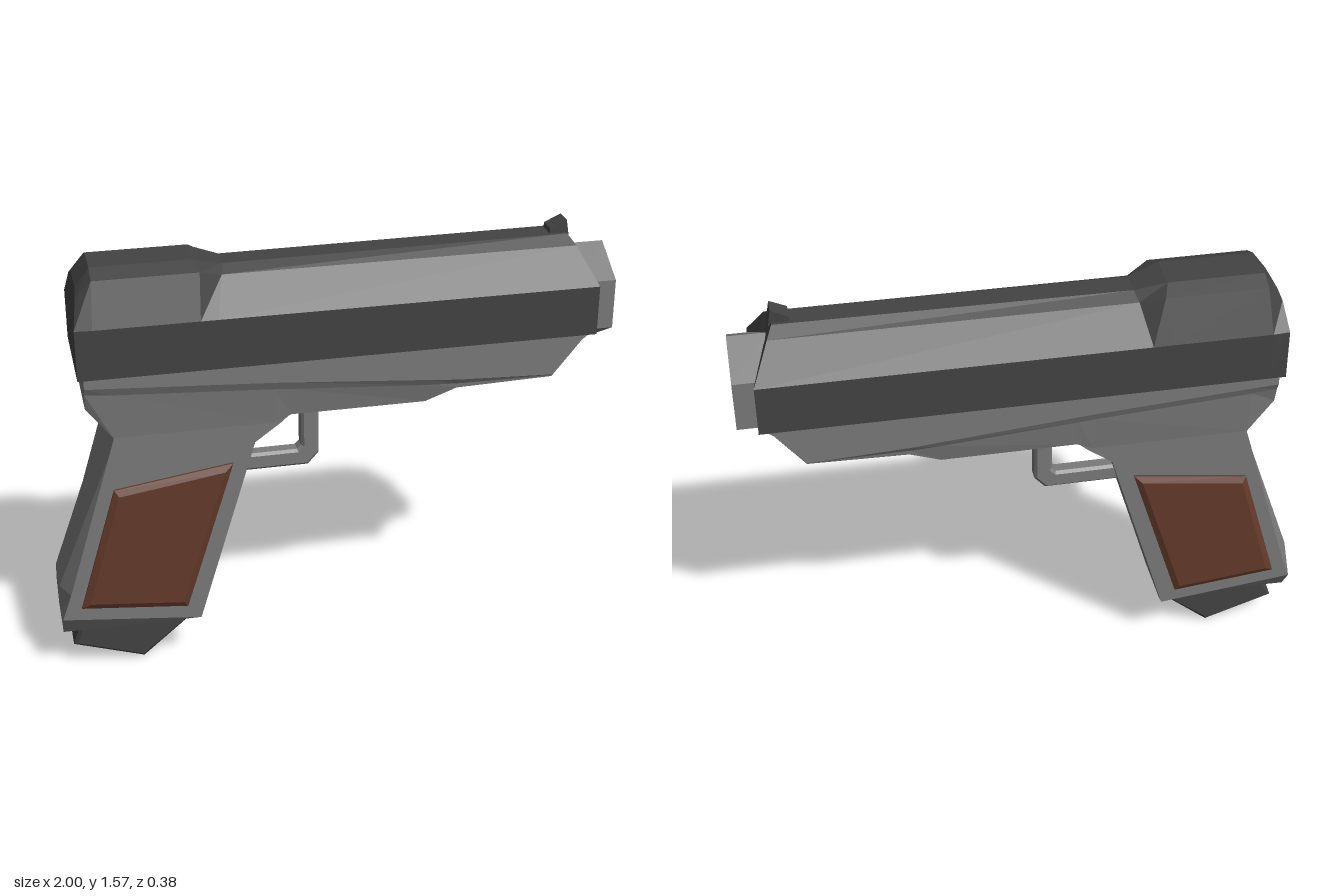
import * as THREE from 'three';

const mat = (name, color) => {
  const m = new THREE.MeshStandardMaterial({ color });
  m.name = name;
  return m;
};

// Closed solid through rings of [x, y, z] points, faceted, wound outwards.
function loft(rings) {
  const tris = [];
  const n = rings[0].length;
  for (let i = 0; i < rings.length - 1; i++) {
    for (let j = 0; j < n; j++) {
      const k = (j + 1) % n;
      const a = rings[i][j], b = rings[i][k], c = rings[i + 1][k], d = rings[i + 1][j];
      tris.push([a, b, c], [a, c, d]);
    }
  }
  const cap = (ring, flip) => {
    const mid = [0, 1, 2].map(q => ring.reduce((s, p) => s + p[q], 0) / n);
    ring.forEach((p, j) => {
      const next = ring[(j + 1) % n];
      tris.push(flip ? [mid, next, p] : [mid, p, next]);
    });
  };
  cap(rings[0], true);
  cap(rings[rings.length - 1], false);
  let volume = 0;
  const v = p => new THREE.Vector3(...p);
  for (const [a, b, c] of tris) volume += v(a).dot(v(b).cross(v(c)));
  if (volume < 0) tris.forEach(t => t.reverse());
  const g = new THREE.BufferGeometry();
  g.setAttribute('position', new THREE.Float32BufferAttribute(tris.flat(2), 3));
  g.computeVertexNormals();
  return g;
}

// Completes a half ring given on +z with its mirror on -z.
const mirror = half => [...half, ...half.slice().reverse().map(([x, y, z]) => [x, y, -z])];

const toShape = pts => new THREE.Shape(pts.map(([x, y]) => new THREE.Vector2(x, y)));

// Side profile extruded evenly about z = 0.
function slab(pts, halfWidth, bevel = 0) {
  const g = new THREE.ExtrudeGeometry(toShape(pts), {
    depth: 2 * (halfWidth - bevel), bevelEnabled: bevel > 0, bevelSegments: 1,
    bevelSize: bevel, bevelThickness: bevel, bevelOffset: -bevel,
  });
  return g.translate(0, 0, bevel - halfWidth);
}

const hexagon = r => Array.from({ length: 6 }, (_, i) => {
  const a = Math.PI / 2 + i * Math.PI / 3;
  return [Math.cos(a) * r, Math.sin(a) * r];
});

export function createModel() {
  const group = new THREE.Group();
  const dark = mat('dark steel', 0x434343);
  const grey = mat('grey steel', 0x7a7a7a);
  const brown = mat('brown wood', 0x643a2b);
  const add = (name, geometry, material) => {
    const mesh = new THREE.Mesh(geometry, material);
    mesh.name = name;
    group.add(mesh);
  };

  // Slide: raised hump at the rear, sloping muzzle end
  add('slide', loft([
    [[-0.89, 1.2, 0.19], [-0.89, 1.38, 0.185], [-0.875, 1.47, 0.12], [-0.87, 1.49, 0.07]],
    [[-0.83, 1.2, 0.19], [-0.83, 1.38, 0.19], [-0.82, 1.53, 0.13], [-0.82, 1.555, 0.07]],
    [[-0.47, 1.2, 0.19], [-0.47, 1.38, 0.19], [-0.46, 1.53, 0.13], [-0.48, 1.555, 0.07]],
    [[-0.41, 1.2, 0.19], [-0.41, 1.38, 0.19], [-0.38, 1.5, 0.09], [-0.37, 1.523, 0.045]],
    [[0.93, 1.2, 0.19], [0.93, 1.38, 0.19], [0.87, 1.5, 0.09], [0.85, 1.53, 0.045]],
  ].map(mirror)), dark);

  // Front sight
  add('frontSight', slab([[0.79, 1.52], [0.86, 1.52], [0.85, 1.575], [0.79, 1.548]], 0.033), dark);

  // Frame: [x, ledge top, ledge bottom, underside]
  add('frame', loft([
    [-0.87, 1.165, 1.14, 1.08],
    [-0.78, 1.16, 1.13, 0.96],
    [-0.22, 1.125, 1.095, 0.96],
    [-0.16, 1.12, 1.09, 0.985],
    [0.32, 1.08, 1.055, 0.985],
    [0.43, 1.07, 1.05, 1.033],
    [0.78, 1.055, 1.048, 1.042],
    [0.88, 1.18, 1.175, 1.17],
    [0.9, 1.196, 1.194, 1.19],
  ].map(([x, a, b, c]) => mirror([
    [x, 1.205, 0.182], [x, a, 0.182], [x, b, 0.17], [x, c, x > 0.4 ? 0.168 : 0.155],
  ]))), grey);

  // Grip: raked, with a folded backstrap and bevelled foot
  add('grip', loft([
    [[-0.16, 0.99, 0.155], [-0.78, 0.99, 0.155], [-0.78, 0.99, 0.08]],
    [[-0.2, 0.955, 0.155], [-0.78, 0.955, 0.155], [-0.782, 0.955, 0.08]],
    [[-0.29, 0.89, 0.155], [-0.8, 0.89, 0.155], [-0.805, 0.89, 0.08]],
    [[-0.455, 0.35, 0.155], [-0.965, 0.35, 0.155], [-1, 0.35, 0.08]],
    [[-0.502, 0.195, 0.155], [-1, 0.25, 0.155], [-1, 0.25, 0.08]],
    [[-0.505, 0.18, 0.1], [-1, 0.165, 0.1], [-1, 0.165, 0.07]],
  ].map(mirror)), grey);

  // Grip panels with bevelled rims
  const outline = [[-0.79, 0.76], [-0.37, 0.82], [-0.55, 0.255], [-0.93, 0.295]];
  const inner = [[-0.775, 0.738], [-0.4, 0.793], [-0.565, 0.28], [-0.9, 0.315]];
  for (const s of [1, -1]) {
    const at = (pts, z) => pts.map(([x, y]) => [x, y, z * s]);
    add(s > 0 ? 'leftGripPanel' : 'rightGripPanel',
      loft([at(outline, 0.15), at(outline, 0.163), at(inner, 0.175)]), brown);
  }

  // Magazine base
  add('magazineBase', slab([
    [-0.91, 0.18], [-0.94, 0.16], [-0.965, 0.09], [-0.71, 0.005], [-0.515, 0.17], [-0.56, 0.19],
  ], 0.085, 0.012), dark);

  // Trigger guard
  add('triggerGuard', slab([
    [-0.36, 0.71], [-0.075, 0.71], [-0.035, 0.755], [-0.035, 1], [-0.1, 1],
    [-0.1, 0.79], [-0.115, 0.775], [-0.36, 0.775],
  ], 0.03, 0.01), grey);

  // Six-sided barrel with a recessed bore
  const barrel = toShape(hexagon(0.18));
  barrel.holes.push(new THREE.Path(hexagon(0.087).reverse().map(p => new THREE.Vector2(...p))));
  const onAxis = (g, x) => g.rotateY(Math.PI / 2).translate(x, 1.295, 0);
  add('barrel', onAxis(new THREE.ExtrudeGeometry(barrel, { depth: 0.14, bevelEnabled: false }), 0.86), grey);
  add('bore', onAxis(new THREE.ShapeGeometry(toShape(hexagon(0.09))), 0.94), dark);

  return group;
}
